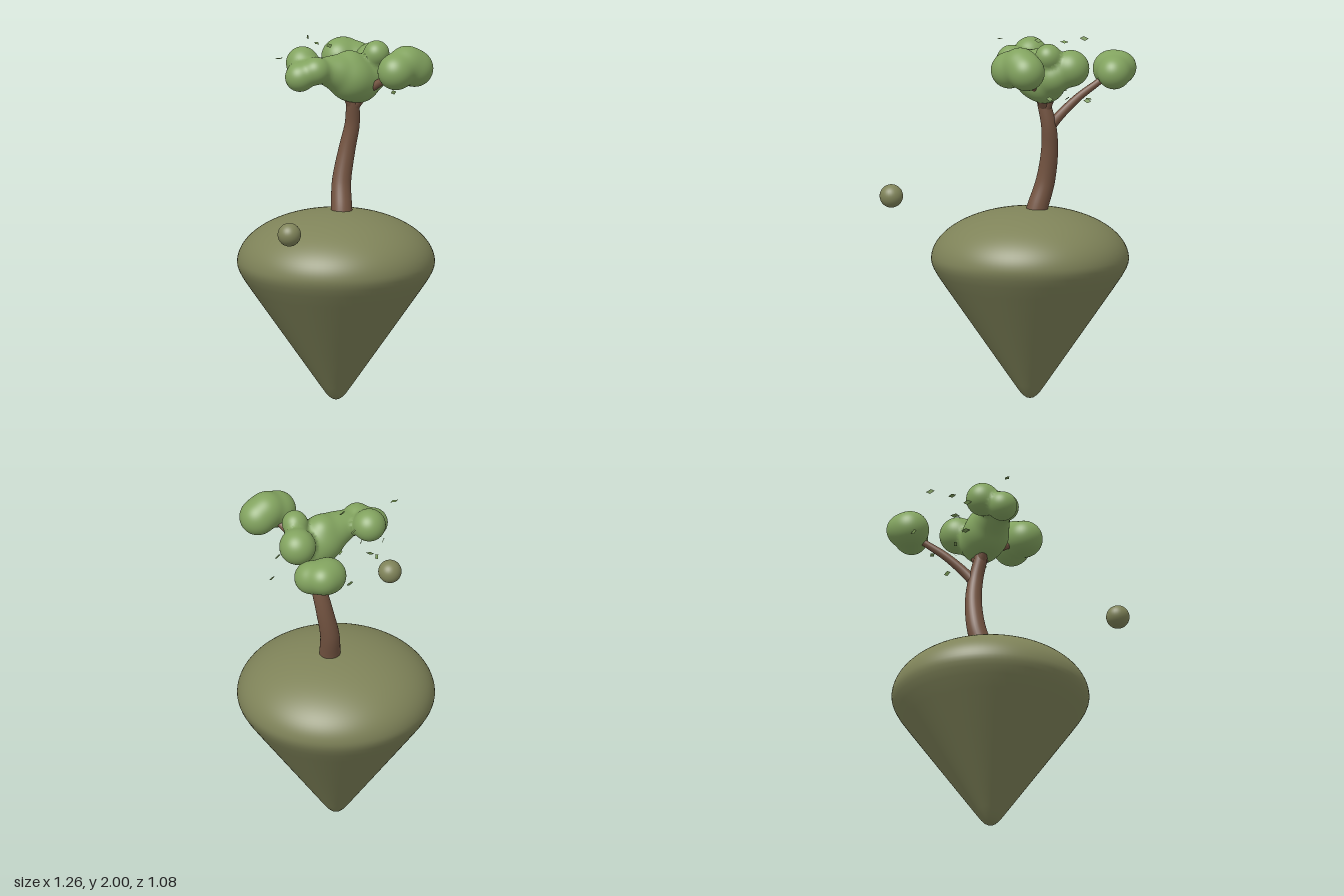
import * as THREE from 'three';

const mat = (name, color) => new THREE.MeshStandardMaterial({ name, color });

// [x, y, z, radius] of the foliage puffs, by clump
const CLUMPS = {
  crownFoliage: [
    [0.03, 1.845, 0, 0.075], [0.09, 1.83, 0.01, 0.095], [0.17, 1.79, 0.02, 0.125], [0.23, 1.76, 0.02, 0.11],
    [0.17, 1.86, 0.01, 0.08], [0.37, 1.85, -0.045, 0.1], [0.31, 1.92, 0.07, 0.07], [0.31, 1.8, 0.03, 0.09],
    [-0.05, 1.88, -0.125, 0.09], [-0.13, 1.825, -0.045, 0.08], [-0.06, 1.86, 0.01, 0.075],
  ],
  backFoliage: [
    [0.37, 1.82, -0.34, 0.1], [0.42, 1.83, -0.365, 0.085], [0.45, 1.81, -0.29, 0.09],
  ],
  frontFoliage: [
    [0.26, 1.865, 0.31, 0.1], [0.34, 1.9, 0.3, 0.095], [0.395, 1.865, 0.305, 0.1],
  ],
};

// Softly blended distance to a group of puffs
function blend(puffs, p, k = 0.013) {
  let sum = 0;
  for (const [x, y, z, r] of puffs) {
    sum += Math.exp(-(Math.hypot(p.x - x, p.y - y, p.z - z) - r) / k);
  }
  return -k * Math.log(sum);
}

// One puff whose skin is pushed out to the blended surface of its clump
function puffGeometry(puffs, [x, y, z, r]) {
  const geo = new THREE.SphereGeometry(1, 48, 32);
  const pos = geo.attributes.position, nor = geo.attributes.normal;
  const centre = new THREE.Vector3(x, y, z);
  const dir = new THREE.Vector3(), p = new THREE.Vector3(), n = new THREE.Vector3(), q = new THREE.Vector3();
  const e = 0.001;
  for (let i = 0; i < pos.count; i++) {
    dir.fromBufferAttribute(pos, i).normalize();
    let t = r;
    for (let s = 0; s < 16; s++) {
      p.copy(centre).addScaledVector(dir, t);
      t = Math.min(t - blend(puffs, p), r * 1.4);
    }
    p.copy(centre).addScaledVector(dir, t);
    const d = blend(puffs, p);
    n.set(
      blend(puffs, q.set(p.x + e, p.y, p.z)) - d,
      blend(puffs, q.set(p.x, p.y + e, p.z)) - d,
      blend(puffs, q.set(p.x, p.y, p.z + e)) - d,
    ).normalize();
    pos.setXYZ(i, p.x, p.y, p.z);
    nor.setXYZ(i, n.x, n.y, n.z);
  }
  return geo;
}

// Tube along points, tapering from r0 to r1
function taperedTube(points, r0, r1, segments = 32, sides = 20) {
  const curve = new THREE.CatmullRomCurve3(points.map((a) => new THREE.Vector3(...a)));
  const geo = new THREE.TubeGeometry(curve, segments, 1, sides);
  const pos = geo.attributes.position, v = new THREE.Vector3();
  for (let i = 0; i < pos.count; i++) {
    const u = Math.floor(i / (sides + 1)) / segments;
    const c = curve.getPointAt(u);
    v.fromBufferAttribute(pos, i).sub(c).multiplyScalar(r0 + (r1 - r0) * u).add(c);
    pos.setXYZ(i, v.x, v.y, v.z);
  }
  geo.computeVertexNormals();
  // keep the seam smooth
  const nor = geo.attributes.normal, a = new THREE.Vector3(), b = new THREE.Vector3();
  for (let i = 0; i <= segments; i++) {
    const s = i * (sides + 1), t = s + sides;
    a.fromBufferAttribute(nor, s).add(b.fromBufferAttribute(nor, t)).normalize();
    nor.setXYZ(s, a.x, a.y, a.z);
    nor.setXYZ(t, a.x, a.y, a.z);
  }
  return geo;
}

export function createModel() {
  const root = new THREE.Group();
  root.name = 'floatingIslandTree';
  const earth = mat('mossy earth', 0x7f8359);
  const bark = mat('bark', 0x755542);
  const green = mat('foliage green', 0x82a35f);
  const leafGreen = mat('leaf green', 0x7b9a58);
  leafGreen.side = THREE.DoubleSide;

  const add = (name, geo, material, parent = root) => {
    const mesh = new THREE.Mesh(geo, material);
    mesh.name = name;
    parent.add(mesh);
    return mesh;
  };

  // Island: rounded tip, straight cone, elliptical dome
  const profile = [
    [0, 0], [0.018, 0.004], [0.036, 0.016], [0.055, 0.036], [0.085, 0.078],
    [0.2, 0.243], [0.35, 0.458], [0.46, 0.616], [0.505, 0.682], [0.528, 0.723], [0.538, 0.75],
  ].map(([r, y]) => new THREE.Vector2(r, y));
  for (let i = 0; i <= 28; i++) {
    const a = (i / 28) * Math.PI / 2;
    profile.push(new THREE.Vector2(i === 28 ? 0 : 0.541 * Math.cos(a), 0.77 + 0.286 * Math.sin(a)));
  }
  add('island', new THREE.LatheGeometry(profile, 96), earth).position.x = 0.085;

  // Small floating stone
  add('floatingStone', new THREE.SphereGeometry(0.064, 32, 24), earth).position.set(-0.567, 1.087, 0.433);

  // Trunk and branches
  add('trunk', taperedTube([
    [0.125, 1.0, 0.0], [0.133, 1.06, -0.012], [0.158, 1.2, -0.046], [0.195, 1.38, -0.045],
    [0.213, 1.52, -0.022], [0.2, 1.64, 0.0], [0.19, 1.72, 0.01],
  ], 0.06, 0.034, 40, 28), bark);
  const branches = {
    backBranch: [[0.21, 1.5, -0.025], [0.245, 1.57, -0.07], [0.3, 1.67, -0.16], [0.36, 1.75, -0.25], [0.4, 1.81, -0.32]],
    frontBranch: [[0.205, 1.62, 0], [0.235, 1.71, 0.07], [0.27, 1.78, 0.16], [0.3, 1.83, 0.24], [0.31, 1.86, 0.29]],
    rightBranch: [[0.205, 1.6, 0], [0.25, 1.69, -0.01], [0.31, 1.76, -0.02], [0.37, 1.83, -0.04]],
    leftBranch: [[0.2, 1.62, 0], [0.14, 1.73, 0], [0.05, 1.81, -0.01], [-0.06, 1.85, -0.05]],
  };
  for (const [name, points] of Object.entries(branches)) {
    add(name, taperedTube(points, 0.029, 0.016, 24, 16), bark);
  }

  // Foliage clumps
  for (const [name, puffs] of Object.entries(CLUMPS)) {
    const clump = new THREE.Group();
    clump.name = name;
    root.add(clump);
    puffs.forEach((puff) => add('foliagePuff', puffGeometry(puffs, puff), green, clump));
  }

  // Loose diamond leaves drifting around the crown: x, y, z, heading, tilt
  const diamond = new THREE.Shape([[-0.025, 0], [0.004, -0.013], [0.025, 0], [-0.004, 0.013]]
    .map(([x, y]) => new THREE.Vector2(x, y)));
  const leafGeo = new THREE.ShapeGeometry(diamond).rotateX(-Math.PI / 2);
  const leaves = new THREE.Group();
  leaves.name = 'looseLeaves';
  root.add(leaves);
  [
    [-0.245, 1.94, -0.08, 0, 0.05], [-0.07, 1.83, -0.23, 0.8, 1.1], [0, 1.77, -0.27, 1.2, 0.7],
    [0.12, 1.95, -0.22, 0.6, 0.5], [0.14, 1.77, -0.125, 0.8, 0.6], [0.19, 1.7, -0.16, -0.2, 0.7],
    [0.235, 1.66, -0.14, -1.1, 0.8], [0.28, 1.65, -0.255, 0, 0.3], [0.255, 1.75, -0.385, 0.1, 1.4],
    [0.15, 1.96, -0.34, 0.7, 1.4], [0.525, 1.69, -0.025, 0.3, 1.2], [0.385, 1.7, 0.125, 0.3, 1.3],
    [0.085, 1.97, -0.06, 0.2, 1.2], [0.02, 1.78, -0.235, -0.9, 1.2],
  ].forEach(([x, y, z, heading, tilt]) => {
    const leaf = add('leaf', leafGeo, leafGreen, leaves);
    leaf.position.set(x, y, z);
    leaf.rotation.set(tilt, heading, 0, 'YXZ');
  });

  return root;
}
